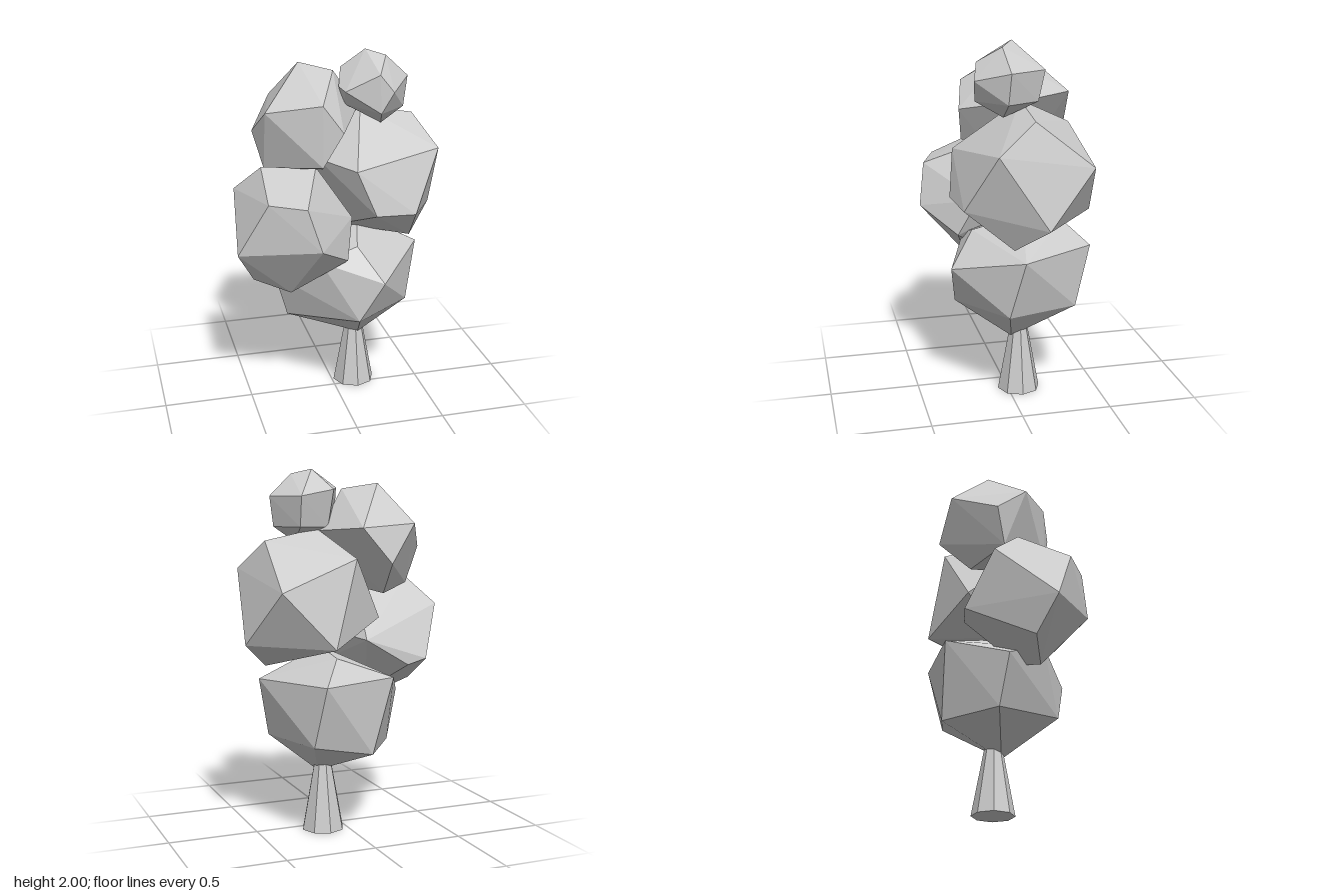
import * as THREE from 'three';
import { ConvexGeometry } from 'three/addons/geometries/ConvexGeometry.js';

const material = new THREE.MeshStandardMaterial({ color: 0xcccccc, flatShading: true });

// Irregular faceted leaf clump: the hull around a few corner points
function clump(name, corners) {
  const points = corners.map(c => new THREE.Vector3(...c));
  const mesh = new THREE.Mesh(new ConvexGeometry(points), material);
  mesh.name = name;
  return mesh;
}

export function createModel() {
  const tree = new THREE.Group();
  tree.name = 'tree';

  // Tapered eight-sided trunk, running up into the lowest clump
  const trunk = new THREE.Mesh(new THREE.CylinderGeometry(0.035, 0.12, 0.46, 8), material);
  trunk.name = 'trunk';
  trunk.position.set(0.13, 0.23, -0.065);
  tree.add(trunk);

  tree.add(
    clump('lowerFoliage', [
      [0.145, 0.325, -0.02], [0.07, 0.54, 0.29], [0.41, 0.54, 0.05], [0.485, 0.87, -0.02],
      [0.2, 0.77, 0.33], [0.08, 0.95, 0.19], [-0.27, 0.475, -0.05], [-0.35, 0.75, 0],
      [0.25, 0.87, -0.44], [0.288, 0.535, -0.35], [-0.05, 0.47, -0.35], [-0.175, 0.885, -0.34],
      [0.14, 1, -0.3], [0.15, 1.04, -0.08], [-0.13, 0.88, 0.2],
    ]),
    clump('rightFoliage', [
      [0.59, 1.07, -0.12], [0.55, 1.465, 0.14], [0.43, 0.93, 0.03], [0.46, 1.62, -0.07],
      [0.475, 1.365, -0.39], [0.2, 1.065, -0.445], [0.38, 1.145, 0.29], [0.15, 1.165, 0.325],
      [0.05, 1.41, 0.29], [0.05, 1.53, -0.36], [0.16, 1.68, -0.06], [-0.11, 1.43, 0.06],
      [-0.14, 1.2, -0.22], [0.04, 1.01, -0.03],
    ]),
    clump('leftFoliage', [
      [-0.175, 1.035, 0.44], [-0.245, 1.265, 0.405], [-0.435, 1.28, 0.325], [-0.59, 0.98, 0.24],
      [-0.55, 1.25, -0.09], [-0.42, 1.4, 0.04], [-0.13, 1.395, 0.1], [0.01, 0.9, 0.255],
      [0.06, 1.11, 0.15], [-0.29, 0.705, 0.166], [-0.49, 0.79, 0.13], [-0.42, 0.96, -0.24],
      [-0.31, 0.93, -0.24], [-0.06, 1.08, -0.24], [-0.18, 0.745, 0.05],
    ]),
    clump('upperFoliage', [
      [-0.175, 1.925, -0.115], [-0.01, 1.895, 0], [-0.115, 1.755, 0.21], [-0.4, 1.705, 0.09],
      [-0.01, 1.61, 0.24], [0.02, 1.69, -0.37], [-0.3, 1.71, -0.325], [-0.445, 1.575, -0.07],
      [-0.115, 1.42, 0.21], [-0.39, 1.37, -0.03], [-0.14, 1.5, -0.39], [-0.17, 1.33, -0.21],
      [0.15, 1.67, -0.08], [-0.085, 1.36, 0.05],
    ]),
    clump('topFoliage', [
      [0.17, 2, -0.01], [0.265, 1.975, 0.06], [0.2, 1.895, 0.185], [0.395, 1.855, 0.04],
      [0.27, 1.805, 0.21], [0.205, 1.69, 0.195], [0.37, 1.69, 0.05], [0.245, 1.605, 0.05],
      [0.285, 1.855, -0.165], [0.09, 1.89, -0.135], [0.03, 1.8, 0.115], [0.01, 1.815, 0.045],
      [0.04, 1.72, 0.04], [0.045, 1.9, -0.055], [0.28, 1.69, -0.13], [0.11, 1.69, -0.1],
    ]),
  );
  return tree;
}
